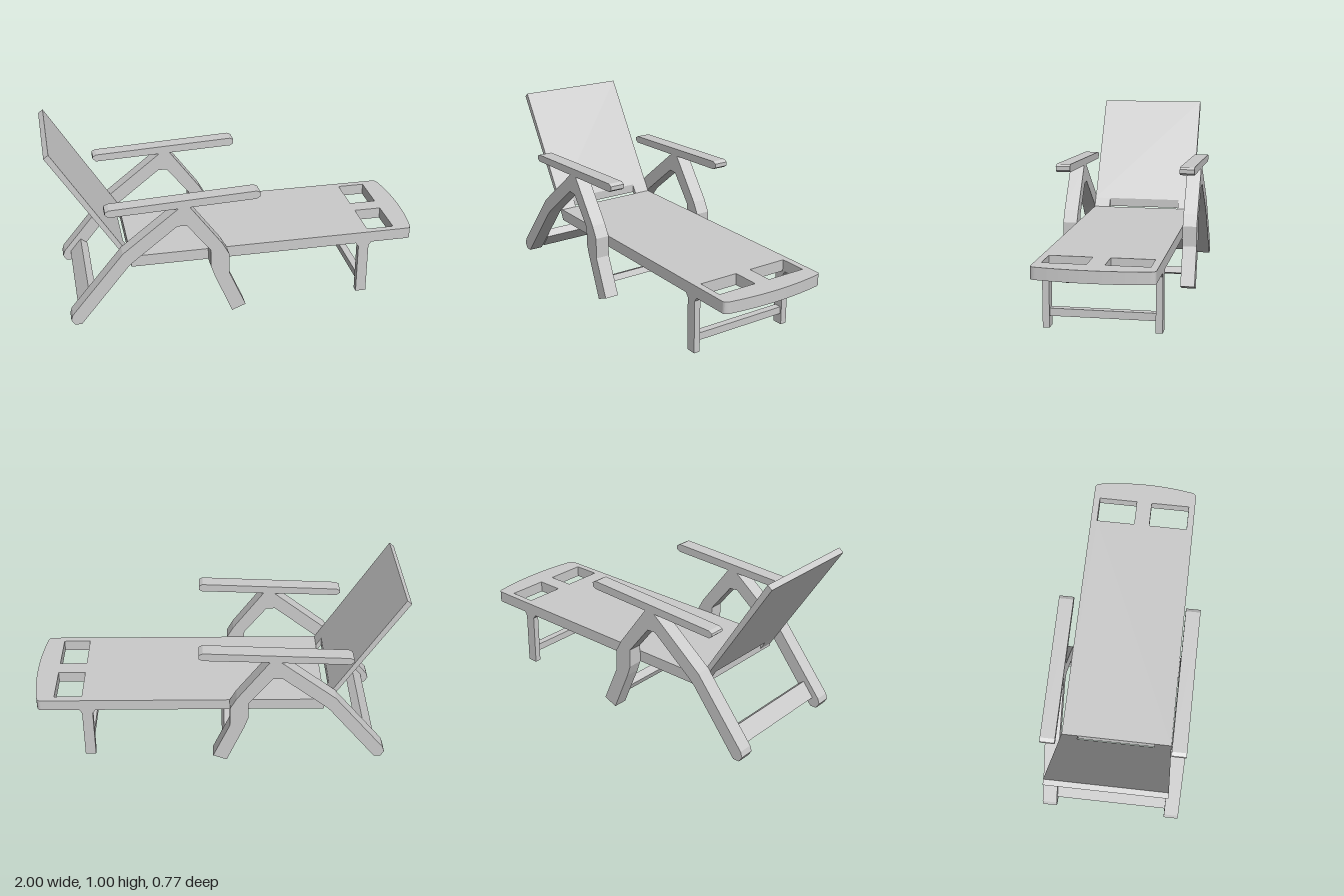
import * as THREE from 'three';

const material = new THREE.MeshStandardMaterial({ color: 0xcccccc, flatShading: true });

function add(group, name, geometry) {
  const mesh = new THREE.Mesh(geometry, material);
  mesh.name = name;
  group.add(mesh);
  return mesh;
}

const outline = (points) => new THREE.Shape(points.map(([x, y]) => new THREE.Vector2(x, y)));

// Side profile in x, y, extruded from z0 to z1
function slab(points, z0, z1) {
  const geometry = new THREE.ExtrudeGeometry(outline(points), { depth: z1 - z0, bevelEnabled: false });
  return geometry.translate(0, 0, z0);
}

// The same profile on both sides of the chair
function pair(group, name, points, z0, z1) {
  add(group, name + 'Left', slab(points, z0, z1));
  add(group, name + 'Right', slab(points, -z1, -z0));
}

// Cross bar between two legs, tilted to follow them
function bar(group, name, x, y, width, height, length, tilt = 0) {
  const mesh = add(group, name, new THREE.BoxGeometry(width, height, length));
  mesh.position.set(x, y, 0);
  mesh.rotation.z = tilt;
}

export function createModel() {
  const chair = new THREE.Group();
  chair.name = 'loungeChair';
  const half = 0.305;

  // Seat panel with a bowed foot end and two openings
  const seat = new THREE.Shape();
  seat.moveTo(-0.59, -half);
  seat.lineTo(0.95, -half);
  seat.quadraticCurveTo(0.972, -half, 0.977, -0.27);
  seat.quadraticCurveTo(1.023, 0, 0.977, 0.27);
  seat.quadraticCurveTo(0.972, half, 0.95, half);
  seat.lineTo(-0.59, half);
  seat.closePath();
  for (const [a, b] of [[-0.268, -0.045], [0.045, 0.268]]) {
    seat.holes.push(outline([[0.73, a], [0.73, b], [0.88, b], [0.88, a]]));
  }
  const seatGeometry = new THREE.ExtrudeGeometry(seat, { depth: 0.063, bevelEnabled: false, curveSegments: 10 });
  seatGeometry.rotateX(-Math.PI / 2).translate(0, 0.312, 0);
  add(chair, 'seat', seatGeometry);

  // Reclined backrest with two tabs meeting the seat
  add(chair, 'backrest', slab([[-1, 0.98], [-0.62, 0.375], [-0.62, 0.424], [-0.975, 1]], -half, half));
  pair(chair, 'backrestTab', [[-0.62, 0.375], [-0.59, 0.325], [-0.59, 0.375], [-0.62, 0.424]], 0.213, half);

  // Angled side frames: rear leg, peak under the armrest, bent middle leg
  pair(chair, 'sideFrame', [
    [-0.93, 0.07], [-0.912, 0.04], [-0.875, 0.04], [-0.615, 0.36], [-0.595, 0.38],
    [-0.35, 0.573], [-0.3, 0.57], [-0.175, 0.41], [-0.175, 0.31], [-0.155, 0.25],
    [-0.06, 0.02], [0.015, 0.05], [-0.075, 0.26], [-0.075, 0.375], [-0.11, 0.44],
    [-0.285, 0.68], [-0.335, 0.68], [-0.64, 0.44], [-0.92, 0.1],
  ], half, 0.385);

  // Armrests
  pair(chair, 'armrest', [
    [-0.722, 0.677], [-0.703, 0.66], [0.07, 0.69], [0.09, 0.702],
    [0.09, 0.724], [0.07, 0.735], [-0.7, 0.7], [-0.72, 0.69],
  ], half, 0.385);

  // Foot-end legs, flared where they meet the seat
  pair(chair, 'footLeg', [
    [0.672, 0], [0.73, 0], [0.73, 0.29], [0.745, 0.312], [0.655, 0.312], [0.672, 0.29],
  ], 0.27, half);

  // Cross bars
  bar(chair, 'footBar', 0.701, 0.08, 0.04, 0.04, 0.54);
  bar(chair, 'middleBar', -0.065, 0.122, 0.05, 0.036, 0.612, 0.38);
  bar(chair, 'rearBar', -0.834, 0.117, 0.05, 0.1, 0.612, -0.68);

  return chair;
}
